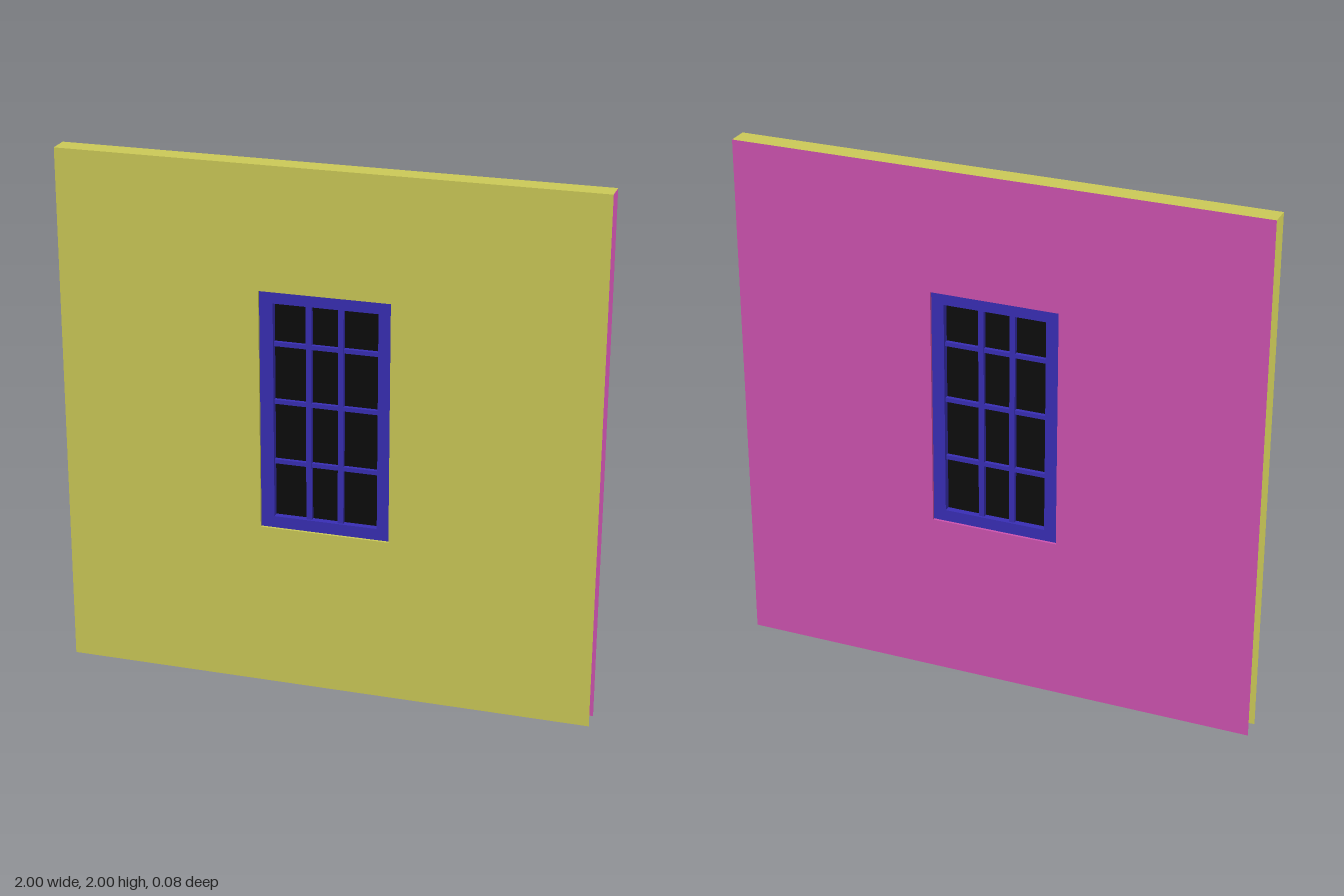
import * as THREE from 'three';

const D = 0.04; // half the wall thickness
const SPLIT = 0.005; // depth where the two plaster colours meet in the opening
const OPEN = { x0: -0.245, x1: 0.24, y0: 0.63, y1: 1.54 };
const PANE = { x0: -0.195, x1: 0.193, y0: 0.674, y1: 1.495 };

const material = (color) => new THREE.MeshStandardMaterial({ color, side: THREE.DoubleSide });

function rect(Type, { x0, x1, y0, y1 }) {
  const p = new Type();
  p.moveTo(x0, y0);
  p.lineTo(x1, y0);
  p.lineTo(x1, y1);
  p.lineTo(x0, y1);
  p.closePath();
  return p;
}

function add(parent, name, geometry, mat, x = 0, y = 0, z = 0) {
  const mesh = new THREE.Mesh(geometry, mat);
  mesh.name = name;
  mesh.position.set(x, y, z);
  parent.add(mesh);
  return mesh;
}

export function createModel() {
  const model = new THREE.Group();
  model.name = 'wallWithWindow';
  const yellow = material(0xcbc957);
  const magenta = material(0xcc52ae);
  const blue = material(0x382eb4);
  const black = material(0x0c0c0c);

  // Thin wall faces with the window opening cut out; ends and underside stay open
  const wall = rect(THREE.Shape, { x0: -1, x1: 1, y0: 0, y1: 2 });
  wall.holes.push(rect(THREE.Path, OPEN));
  add(model, 'frontWallFace', new THREE.ShapeGeometry(wall), yellow, 0, 0, D);
  add(model, 'backWallFace', new THREE.ShapeGeometry(wall), magenta, 0, 0, -D).rotation.y = Math.PI;
  // The turned back face mirrors the opening, so shift its vertices back
  const back = model.getObjectByName('backWallFace');
  back.rotation.y = 0;
  back.geometry.index.array.reverse();
  back.geometry.attributes.normal.array.forEach((v, i, a) => { a[i] = -v; });
  add(model, 'wallTop', new THREE.PlaneGeometry(2, 2 * D).rotateX(-Math.PI / 2), yellow, 0, 2, 0);

  // Lining of the opening, one colour for each side of the wall
  const w = OPEN.x1 - OPEN.x0, h = OPEN.y1 - OPEN.y0;
  const cx = (OPEN.x0 + OPEN.x1) / 2, cy = (OPEN.y0 + OPEN.y1) / 2;
  for (const [name, z0, z1, mat] of [['frontReveal', SPLIT, D, yellow], ['backReveal', -D, SPLIT, magenta]]) {
    const reveal = new THREE.Group();
    reveal.name = name;
    const d = z1 - z0, z = (z0 + z1) / 2;
    for (const s of [-1, 1]) {
      add(reveal, 'revealSide', new THREE.PlaneGeometry(d, h).rotateY(-s * Math.PI / 2), mat, cx + s * w / 2, cy, z);
      add(reveal, 'revealEnd', new THREE.PlaneGeometry(w, d).rotateX(s * Math.PI / 2), mat, cx, cy + s * h / 2, z);
    }
    model.add(reveal);
  }

  // Window: outer frame, glazing bars and dark glass
  const win = new THREE.Group();
  win.name = 'window';
  model.add(win);
  const frame = rect(THREE.Shape, OPEN);
  frame.holes.push(rect(THREE.Path, PANE));
  add(win, 'windowFrame', new THREE.ExtrudeGeometry(frame, { depth: 0.06, bevelEnabled: false }), blue, 0, 0, -0.03);

  const pw = PANE.x1 - PANE.x0, ph = PANE.y1 - PANE.y0;
  const px = (PANE.x0 + PANE.x1) / 2, py = (PANE.y0 + PANE.y1) / 2;
  for (const x of [-0.065, 0.054]) add(win, 'verticalBar', new THREE.BoxGeometry(0.021, ph, 0.044), blue, x, py);
  for (const y of [0.888, 1.12, 1.34]) add(win, 'horizontalBar', new THREE.BoxGeometry(pw, 0.016, 0.04), blue, px, y);
  add(win, 'glass', new THREE.BoxGeometry(pw, ph, 0.01), black, px, py);
  return model;
}
